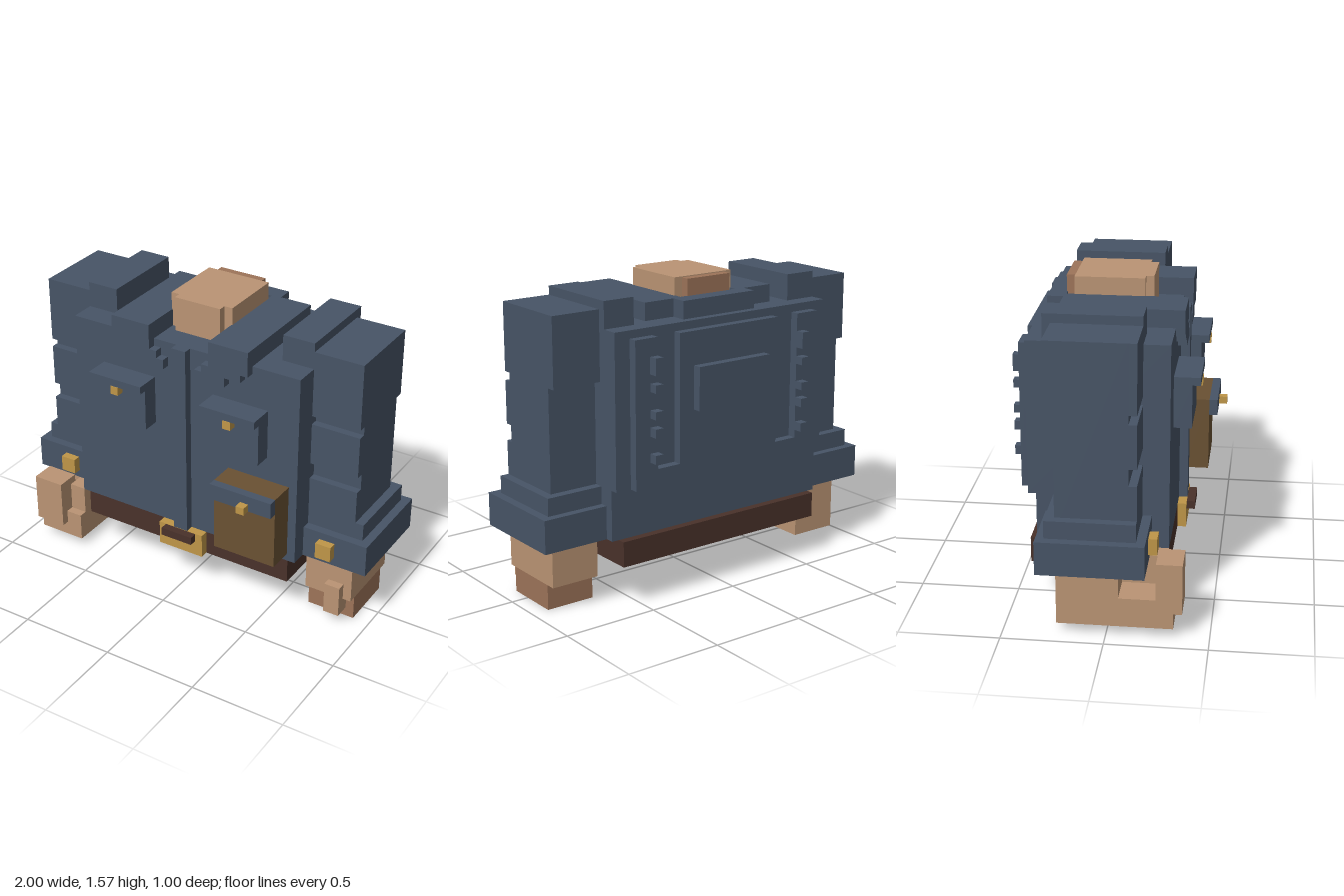
import * as THREE from 'three';

const mat = (name, color) => {
  const m = new THREE.MeshStandardMaterial({ color });
  m.name = name;
  return m;
};

export function createModel() {
  const navy = mat('navy cloth', 0x475466);
  const skin = mat('skin', 0xba9474);
  const skinDark = mat('dark skin', 0x9d7459);
  const leather = mat('belt leather', 0x49312a);
  const canvas = mat('pouch canvas', 0x6a5133);
  const gold = mat('brass', 0xbf9648);

  const model = new THREE.Group();
  model.name = 'uniformTorso';

  // Box from its lower and upper corner
  const box = (name, m, x0, x1, y0, y1, z0, z1) => {
    const mesh = new THREE.Mesh(new THREE.BoxGeometry(x1 - x0, y1 - y0, z1 - z0), m);
    mesh.position.set((x0 + x1) / 2, (y0 + y1) / 2, (z0 + z1) / 2);
    mesh.name = name;
    model.add(mesh);
  };
  // The same box on both sides of the body
  const pair = (name, m, x0, x1, ...rest) => {
    box(name + 'Left', m, x0, x1, ...rest);
    box(name + 'Right', m, -x1, -x0, ...rest);
  };

  // Coat body
  box('coatBody', navy, -0.65, 0.65, 0.61, 1.39, -0.41, 0.28);
  box('coatHem', navy, -0.65, 0.65, 0.35, 0.61, -0.37, 0.28);
  box('placket', navy, -0.04, 0.04, 0.35, 1.39, 0.28, 0.325);

  // Collar and stepped lapels
  pair('collar', navy, 0.17, 0.39, 1.39, 1.48, -0.29, 0.325);
  box('collarBack', navy, -0.22, 0.22, 1.39, 1.48, -0.37, -0.28);
  [[0.17, 0.39, 1.35, 1.39], [0.13, 0.35, 1.31, 1.35], [0.09, 0.26, 1.26, 1.31]].forEach(
    ([a, b, y0, y1], i) => pair('lapel' + i, navy, a, b, y0, y1, 0.28, 0.325));

  // Neck
  box('neck', skin, -0.175, 0.175, 1.38, 1.57, -0.24, 0.11);
  box('neckFront', skin, -0.13, 0.13, 1.38, 1.57, 0.11, 0.15);
  box('neckBack', skinDark, -0.13, 0.13, 1.38, 1.565, -0.285, -0.24);

  // Chest pockets
  pair('pocket', navy, 0.17, 0.48, 0.915, 1.135, 0.28, 0.37);
  pair('pocketFlap', navy, 0.17, 0.48, 1.135, 1.175, 0.28, 0.41);
  pair('pocketButton', gold, 0.305, 0.348, 1.09, 1.135, 0.37, 0.413);

  // Hip pouch
  box('pouch', canvas, 0.26, 0.605, 0.39, 0.785, 0.28, 0.413);
  box('pouchFlap', navy, 0.26, 0.605, 0.70, 0.785, 0.413, 0.457);
  box('pouchButton', gold, 0.435, 0.48, 0.70, 0.74, 0.457, 0.5);

  // Belt and buckle
  box('belt', leather, -0.61, 0.61, 0.22, 0.35, -0.41, 0.28);
  box('buckle', gold, -0.13, 0.13, 0.22, 0.35, 0.28, 0.325);
  box('bucklePin', leather, -0.09, 0.09, 0.305, 0.348, 0.325, 0.367);

  // Back plates, bottom band, central panel and pocket
  box('backPanel', navy, -0.305, 0.305, 0.7, 1.35, -0.455, -0.41);
  pair('backStrap', navy, 0.435, 0.565, 0.7, 1.35, -0.455, -0.41);
  box('backBand', navy, -0.565, 0.565, 0.61, 0.7, -0.455, -0.41);
  box('backPocket', navy, -0.22, 0.22, 0.96, 1.18, -0.5, -0.455);
  [[1.175, 1.26], [1.09, 1.13], [0.96, 1.0], [0.87, 0.915], [0.74, 0.785]].forEach(
    ([y0, y1], i) => pair('backStud' + i, navy, 0.435, 0.48, y0, y1, -0.5, -0.455));

  // Shoulders
  pair('shoulder', navy, 0.48, 0.65, 1.39, 1.525, -0.325, 0.15);

  // Sleeves: core, swelling front folds and upper back
  pair('sleeve', navy, 0.65, 0.91, 0.52, 1.48, -0.24, 0.11);
  pair('sleeveBack', navy, 0.65, 0.91, 1.13, 1.48, -0.285, -0.24);
  [[0.61, 0.785], [0.87, 1.09], [1.135, 1.48]].forEach(
    ([y0, y1], i) => pair('sleeveFold' + i, navy, 0.65, 0.91, y0, y1, 0.11, 0.15));

  // Cuffs
  pair('cuffStep', navy, 0.65, 0.955, 0.52, 0.61, -0.285, 0.15);
  pair('cuff', navy, 0.65, 1.0, 0.35, 0.52, -0.325, 0.195);
  pair('cuffButton', gold, 0.74, 0.825, 0.395, 0.48, 0.195, 0.238);

  // Right hand, held forward with a gap behind the fingers
  box('rightPalm', skin, -0.91, -0.65, 0.05, 0.35, -0.24, 0.06);
  box('rightHandBase', skin, -0.91, -0.65, 0.05, 0.2, 0.06, 0.325);
  box('rightFingers', skin, -0.91, -0.74, 0.13, 0.39, 0.24, 0.367);
  box('rightThumb', skin, -0.74, -0.65, 0.18, 0.35, 0.06, 0.28);

  // Left hand, hanging fist
  box('leftHand', skin, 0.65, 0.91, 0.13, 0.35, -0.24, 0.15);
  box('leftFingers', skinDark, 0.65, 0.91, 0, 0.13, -0.19, 0.11);
  box('leftThumb', skin, 0.78, 0.865, 0.05, 0.22, 0.11, 0.195);

  return model;
}
